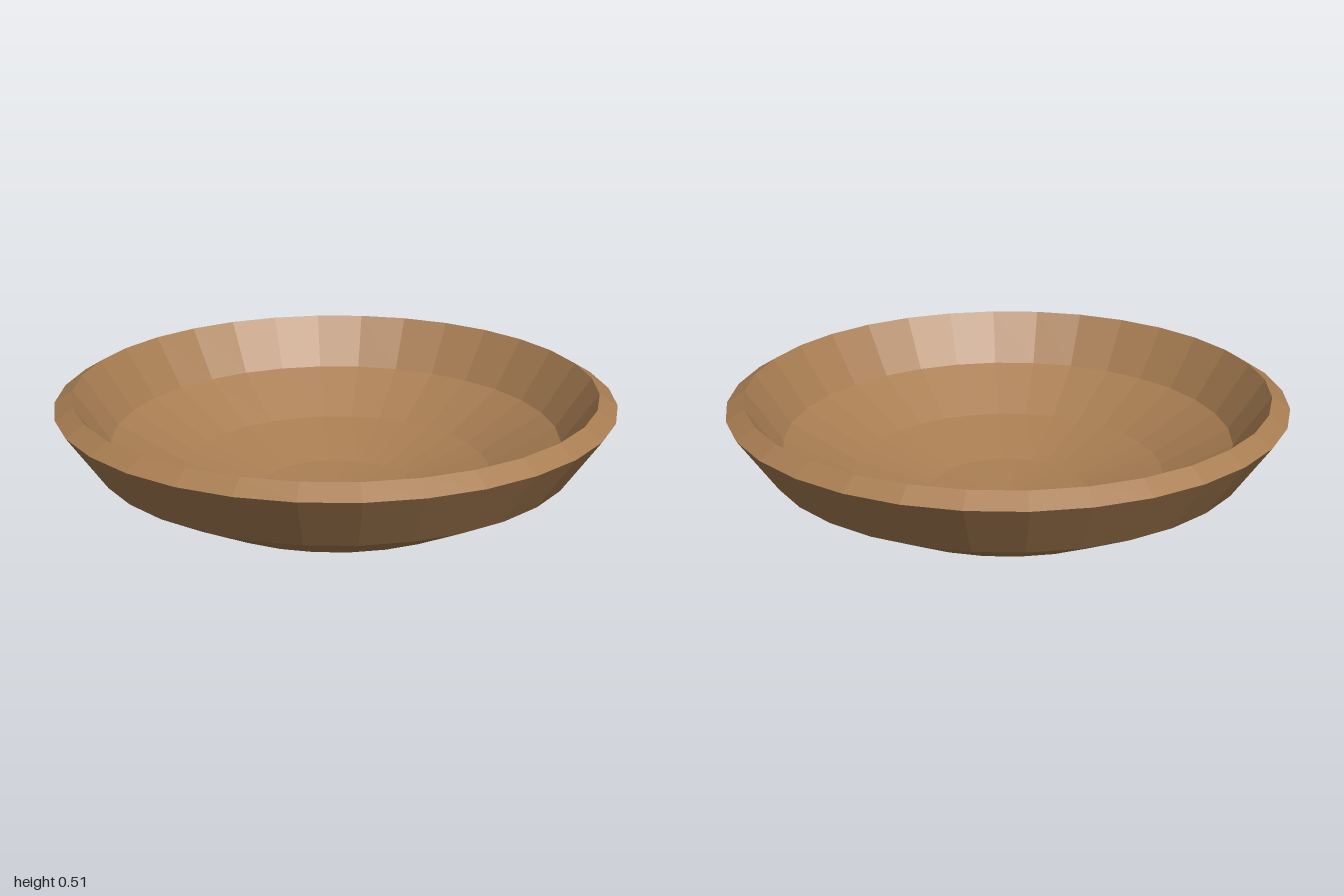
import * as THREE from 'three';

export function createModel() {
  const group = new THREE.Group();
  group.name = 'woodenBowl';

  const wood = new THREE.MeshStandardMaterial({ color: 0xa87d52, flatShading: true });

  // Closed cross-section: up the outside, over the sloped lip, down the inside
  const profile = [
    [0, 0], [0.31, 0.035], [0.6, 0.125], [0.865, 0.27], [1, 0.47],
    [0.935, 0.51],
    [0.81, 0.325], [0.565, 0.19], [0.29, 0.106], [0, 0.072],
  ].map(([r, y]) => new THREE.Vector2(r, y));

  // 32-sided faceted bowl
  const bowl = new THREE.Mesh(new THREE.LatheGeometry(profile, 32), wood);
  bowl.name = 'bowl';
  group.add(bowl);

  return group;
}
